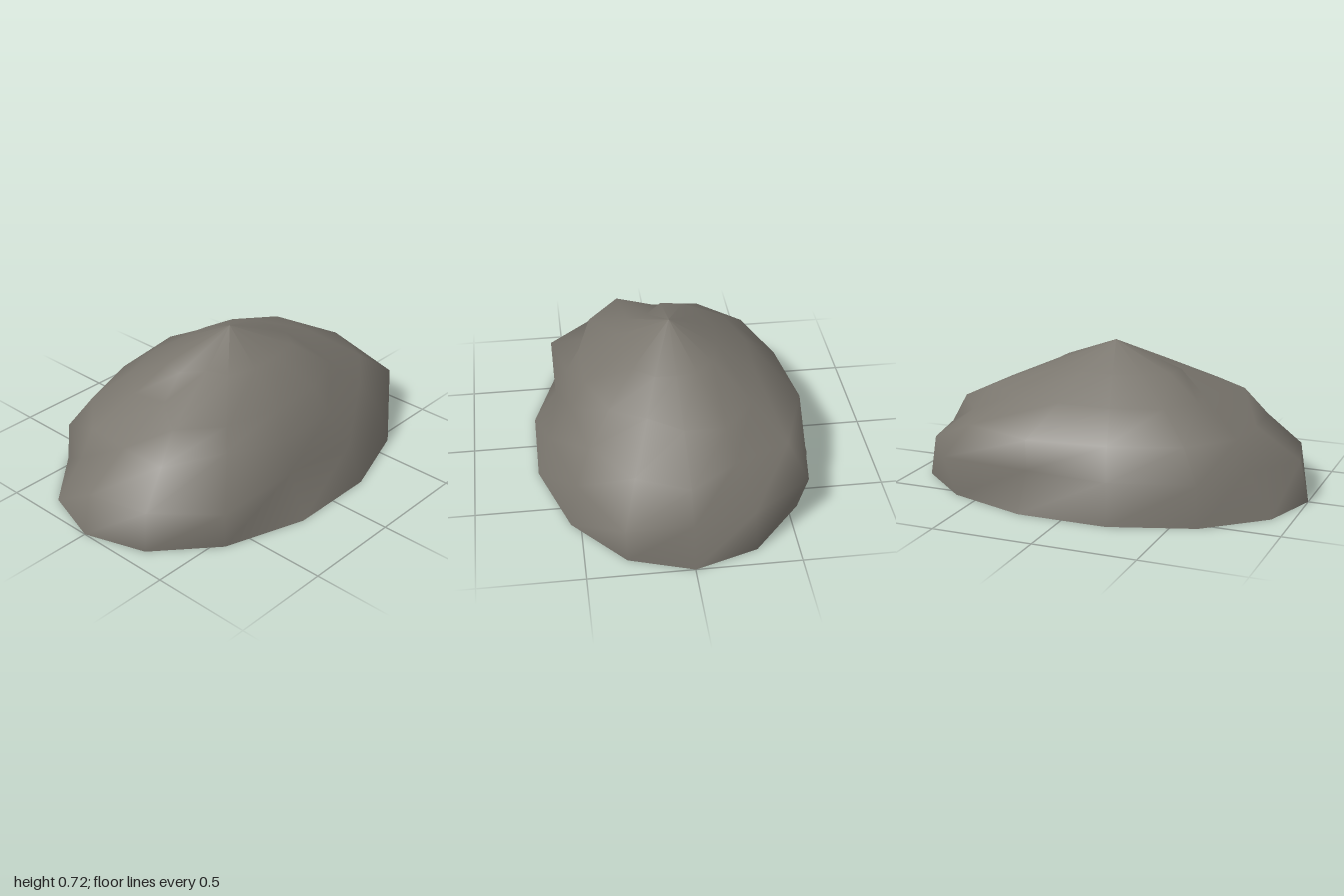
import * as THREE from 'three';

// Radius factors of each ring around the boulder, starting at +x and turning toward +z
const SEG = 14;
const RINGS = [
  { y: 0.0, f: Array(SEG).fill(1) },
  { y: 0.2, f: [0.935, 1.035, 0.93, 0.9, 0.83, 1.035, 0.98, 0.955, 0.86, 0.98, 0.95, 0.91, 1.07, 0.97] },
  { y: 0.35, f: [0.85, 0.82, 0.8, 0.74, 0.74, 0.69, 0.8, 0.73, 0.79, 0.83, 0.84, 0.92, 0.91, 0.76] },
  { y: 0.48, f: [0.58, 0.52, 0.61, 0.63, 0.645, 0.67, 0.675, 0.46, 0.55, 0.6, 0.6, 0.6, 0.64, 0.65] },
  { y: 0.6, f: [0.31, 0.34, 0.37, 0.34, 0.35, 0.34, 0.275, 0.345, 0.36, 0.34, 0.35, 0.34, 0.34, 0.33] },
];
const RX = 1, RZ = 0.7, TOP = 0.72;

function ringPoint(k, f, y) {
  const a = (k / SEG) * Math.PI * 2;
  return [Math.cos(a) * RX * f, y, Math.sin(a) * RZ * f];
}

function makeGeometry(positions, index) {
  const g = new THREE.BufferGeometry();
  g.setAttribute('position', new THREE.Float32BufferAttribute(positions, 3));
  g.setIndex(index);
  g.computeVertexNormals();
  return g;
}

export function createModel() {
  const group = new THREE.Group();
  group.name = 'boulder';
  const stone = new THREE.MeshStandardMaterial({ color: 0x7a766e });
  stone.name = 'stone grey';

  // Weathered shell: stacked uneven rings closed by a pointed peak
  const pos = [], idx = [];
  RINGS.forEach(({ y, f }) => f.forEach((v, k) => pos.push(...ringPoint(k, v, y))));
  // One peak vertex per side keeps the tip crisp
  for (let k = 0; k < SEG; k++) pos.push(0, TOP, 0);
  for (let r = 0; r < RINGS.length; r++) {
    for (let k = 0; k < SEG; k++) {
      const a = r * SEG + k, b = r * SEG + ((k + 1) % SEG);
      idx.push(a, a + SEG, b);
      if (r < RINGS.length - 1) idx.push(b, a + SEG, b + SEG);
    }
  }
  const shell = new THREE.Mesh(makeGeometry(pos, idx), stone);
  shell.name = 'rockShell';

  // Flat underside
  const basePos = [0, 0, 0], baseIdx = [];
  for (let k = 0; k < SEG; k++) {
    basePos.push(...ringPoint(k, 1, 0));
    baseIdx.push(0, k + 1, ((k + 1) % SEG) + 1);
  }
  const base = new THREE.Mesh(makeGeometry(basePos, baseIdx), stone);
  base.name = 'underside';

  group.add(shell, base);
  return group;
}
